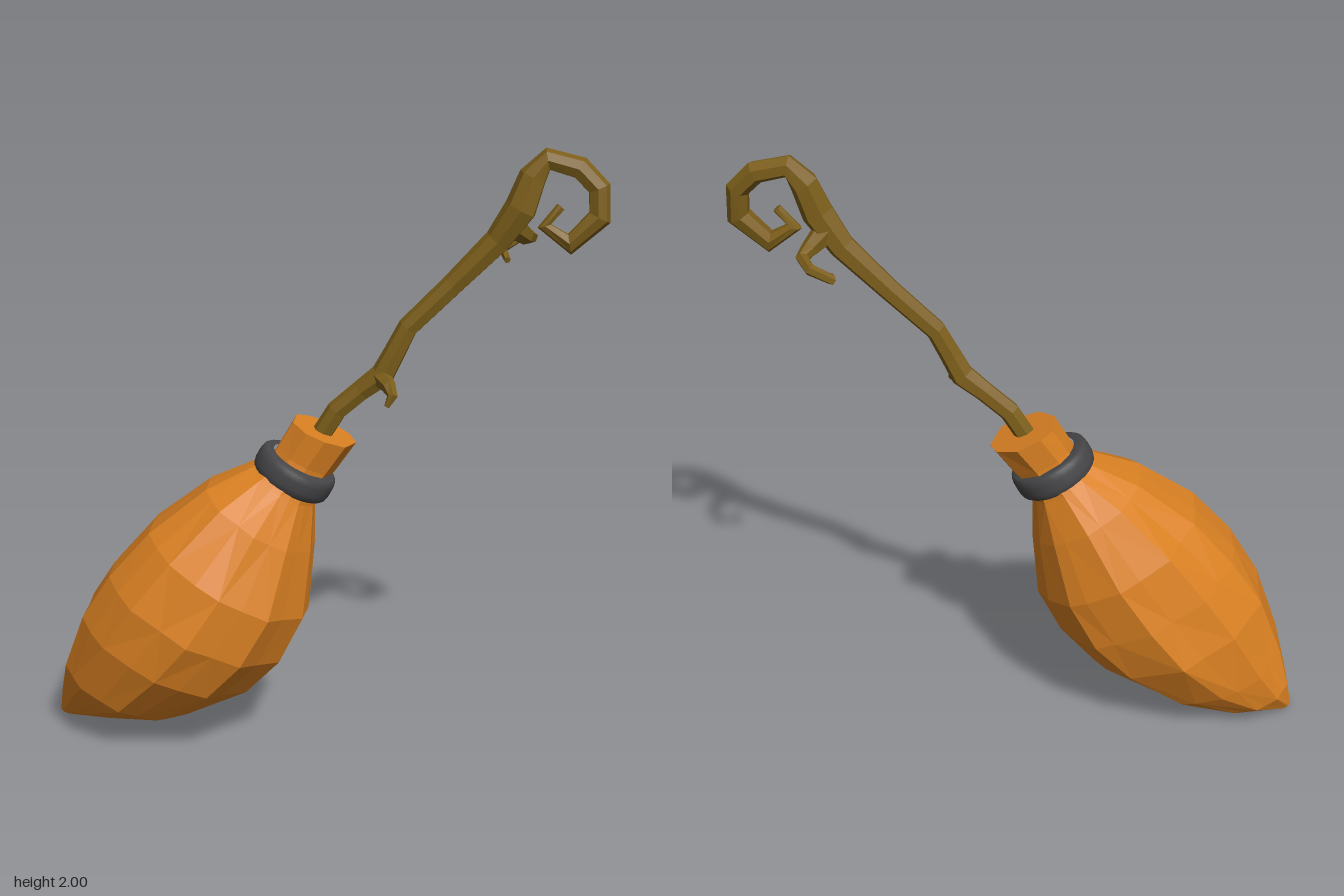
import * as THREE from 'three';

// Skin a list of rings (each counter-clockwise about the direction of travel) and close both ends
function loft(rings) {
  const n = rings[0].length, pos = [];
  const tri = (...pts) => pts.forEach(p => pos.push(p.x, p.y, p.z));
  for (let i = 0; i < rings.length - 1; i++) {
    for (let j = 0; j < n; j++) {
      const k = (j + 1) % n;
      const a = rings[i][j], b = rings[i][k], c = rings[i + 1][j], d = rings[i + 1][k];
      if ((i + j) % 2) { tri(a, b, c); tri(b, d, c); }
      else { tri(a, b, d); tri(a, d, c); }
    }
  }
  const cap = (ring, flip) => {
    const mid = ring.reduce((s, p) => s.add(p), new THREE.Vector3()).divideScalar(n);
    ring.forEach((p, j) => {
      const q = ring[(j + 1) % n];
      flip ? tri(mid, q, p) : tri(mid, p, q);
    });
  };
  cap(rings[0], true);
  cap(rings[rings.length - 1], false);
  const g = new THREE.BufferGeometry();
  g.setAttribute('position', new THREE.Float32BufferAttribute(pos, 3));
  g.computeVertexNormals();
  return g;
}

// Tapered branch through points [x, y, z, radius]
function branch(points, sides) {
  const P = points.map(p => new THREE.Vector3(p[0], p[1], p[2]));
  const N = new THREE.Vector3(0, 0, 1);
  let last = null;
  return loft(P.map((p, i) => {
    const T = P[Math.min(i + 1, P.length - 1)].clone().sub(P[Math.max(i - 1, 0)]).normalize();
    if (last) N.applyQuaternion(new THREE.Quaternion().setFromUnitVectors(last, T));
    N.addScaledVector(T, -N.dot(T)).normalize();
    last = T;
    const B = T.clone().cross(N);
    return Array.from({ length: sides }, (_, j) => {
      const a = (j / sides) * Math.PI * 2;
      const r = points[i][3] * (j % 2 ? 1.05 : 0.97);
      return p.clone().addScaledVector(N, r * Math.cos(a)).addScaledVector(B, r * Math.sin(a));
    });
  }));
}

function seeded(seed) {
  return () => {
    seed = (seed * 16807) % 2147483647;
    return seed / 2147483647;
  };
}

// Uneven bundle: each section is [upper edge x, y, lower edge x, y, centre z, half depth]
function bundle(sections, sides, rough, seed) {
  const rnd = seeded(seed);
  const cols = Array.from({ length: sides }, (_, j) => ({
    a: ((j + (rnd() - 0.5) * 0.4) / sides) * Math.PI * 2,
    f: 1.01 - rough * (j % 2 ? 0.1 : 0.9) * (0.6 + 0.4 * rnd()),
  }));
  return loft(sections.map(([ax, ay, bx, by, zc, zh]) => cols.map(({ a, f }) => {
    const k = f + (rnd() - 0.5) * rough * 0.6;
    const u = Math.cos(a) * k;
    return new THREE.Vector3(
      (ax + bx) / 2 + ((bx - ax) / 2) * u,
      (ay + by) / 2 + ((by - ay) / 2) * u,
      zc + zh * Math.sin(a) * k
    );
  })));
}

export function createModel() {
  const model = new THREE.Group();
  model.name = 'broom';

  const material = (name, color, flatShading) => {
    const m = new THREE.MeshStandardMaterial({ color, flatShading });
    m.name = name;
    return m;
  };
  const straw = material('straw orange', 0xd98022, true);
  const wood = material('wood brown', 0x7c5e1a, true);
  const band = material('band grey', 0x464648, false);

  const add = (name, geometry, mat) => {
    const mesh = new THREE.Mesh(geometry, mat);
    mesh.name = name;
    model.add(mesh);
    return mesh;
  };

  // Swelling brush, from the neck to the swept tip
  add('bristles', bundle([
    [-0.19, 0.97, -0.01, 0.87, -0.06, 0.12],
    [-0.23, 0.955, -0.02, 0.82, -0.055, 0.14],
    [-0.38, 0.89, -0.02, 0.67, -0.035, 0.225],
    [-0.57, 0.755, -0.035, 0.45, -0.01, 0.315],
    [-0.705, 0.605, -0.11, 0.295, 0, 0.34],
    [-0.805, 0.45, -0.23, 0.18, -0.01, 0.325],
    [-0.875, 0.25, -0.44, 0.07, -0.03, 0.25],
    [-0.905, 0.12, -0.67, 0.025, -0.075, 0.14],
    [-0.92, 0.02, -0.86, 0.003, -0.085, 0.03],
  ], 20, 0.07, 11), straw);

  // Cut end of the straw above the band
  add('bristleStub', bundle([
    [-0.1, 1.105, 0.115, 1.02, -0.08, 0.118],
    [-0.15, 1.02, 0.045, 0.92, -0.07, 0.103],
    [-0.19, 0.95, -0.01, 0.86, -0.06, 0.105],
  ], 9, 0.04, 5), straw);

  // Rounded binding band
  const profile = [
    [0.1, -0.043], [0.125, -0.043], [0.134, -0.034], [0.138, -0.015],
    [0.138, 0.015], [0.134, 0.034], [0.125, 0.043], [0.1, 0.043],
  ].map(p => new THREE.Vector2(...p));
  const ring = add('bindingBand', new THREE.LatheGeometry(profile, 28), band);
  ring.position.set(-0.088, 0.926, -0.058);
  ring.rotation.z = -0.49;

  // Crooked handle ending in a curl
  add('handle', branch([
    [-0.02, 1.02, -0.075, 0.034],
    [0.05, 1.135, -0.075, 0.034],
    [0.13, 1.205, -0.075, 0.034],
    [0.2, 1.26, -0.07, 0.04],
    [0.235, 1.33, -0.07, 0.036],
    [0.28, 1.42, -0.075, 0.034],
    [0.42, 1.56, -0.085, 0.036],
    [0.56, 1.705, -0.088, 0.043],
    [0.63, 1.81, -0.08, 0.052],
    [0.665, 1.91, -0.09, 0.045],
    [0.71, 1.965, -0.095, 0.036],
    [0.81, 1.94, -0.085, 0.036],
    [0.87, 1.88, -0.075, 0.036],
    [0.875, 1.79, -0.07, 0.038],
    [0.785, 1.705, -0.065, 0.034],
    [0.705, 1.76, -0.07, 0.022],
    [0.755, 1.82, -0.075, 0.015],
  ], 7), wood);

  // Short hooked twig low on the handle
  add('lowerTwig', branch([
    [0.195, 1.255, -0.065, 0.034],
    [0.225, 1.24, -0.005, 0.024],
    [0.238, 1.215, 0.018, 0.018],
    [0.22, 1.18, 0.026, 0.009],
  ], 6), wood);

  // Curled twig behind the upper handle
  add('upperTwig', branch([
    [0.6, 1.76, -0.085, 0.042],
    [0.65, 1.715, -0.135, 0.028],
    [0.668, 1.703, -0.18, 0.02],
    [0.635, 1.695, -0.245, 0.018],
    [0.575, 1.655, -0.225, 0.016],
    [0.592, 1.632, -0.15, 0.011],
  ], 6), wood);

  return model;
}
